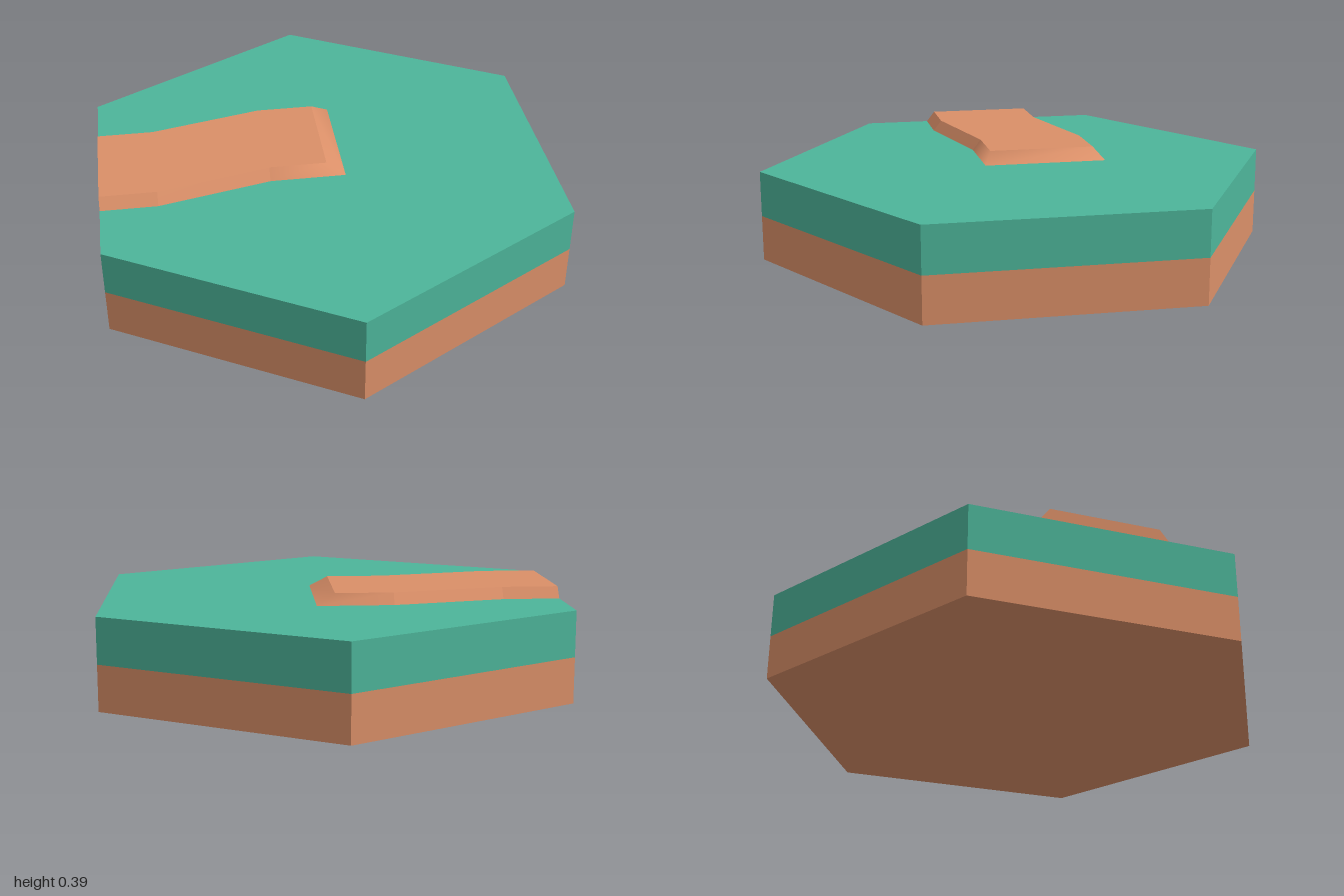
import * as THREE from 'three';

const BASE_H = 0.174, TILE_H = 0.348, PATH_H = 0.39;

// Indexed geometry from quads; corners are shared (smooth) only within one call.
function quadGeometry(points, quads) {
  const geometry = new THREE.BufferGeometry();
  geometry.setAttribute('position', new THREE.Float32BufferAttribute(points.flat(), 3));
  geometry.setIndex(quads.flatMap(([a, b, c, d]) => [a, b, c, a, c, d]));
  geometry.computeVertexNormals();
  return geometry;
}

// Six-sided slab with crisp edges, corners pointing along z.
function hexSlab(name, bottom, top, material) {
  const geometry = new THREE.CylinderGeometry(1, 1, top - bottom, 6).toNonIndexed();
  geometry.computeVertexNormals();
  const mesh = new THREE.Mesh(geometry, material);
  mesh.name = name;
  mesh.position.y = (top + bottom) / 2;
  return mesh;
}

export function createModel() {
  const grass = new THREE.MeshStandardMaterial({ color: 0x4db59a });
  grass.name = 'grass green';
  const dirt = new THREE.MeshStandardMaterial({ color: 0xda8f68 });
  dirt.name = 'dirt brown';

  const model = new THREE.Group();
  model.name = 'hexTile';
  model.add(hexSlab('dirtLayer', 0, BASE_H, dirt));
  model.add(hexSlab('grassLayer', BASE_H, TILE_H, grass));

  // Raised path: outline runs along the front side, then back along the rear side.
  const outer = [[-0.866, 0.24], [-0.65, 0.24], [-0.22, 0.14], [0.07, 0.14],
    [0.07, -0.34], [-0.22, -0.34], [-0.65, -0.24], [-0.866, -0.24]];
  const inner = [[-0.866, 0.207], [-0.65, 0.207], [-0.22, 0.108], [0, 0.108],
    [0, -0.307], [-0.22, -0.307], [-0.65, -0.207], [-0.866, -0.207]];
  const low = outer.map(([x, z]) => [x, TILE_H, z]);
  const high = inner.map(([x, z]) => [x, PATH_H, z]);

  const path = new THREE.Group();
  path.name = 'path';
  const addPart = (name, geometry) => {
    const mesh = new THREE.Mesh(geometry, dirt);
    mesh.name = name;
    path.add(mesh);
  };

  addPart('pathTop', quadGeometry(high, [0, 1, 2].map(i => [i, i + 1, 6 - i, 7 - i])));

  // Sloped rim: flat side pieces, with the ramp end blended softly into its neighbours.
  const ring = [...low, ...high];
  const rimQuad = i => [i, (i + 1) % 8, 8 + (i + 1) % 8, 8 + i];
  for (const i of [0, 1, 5, 6, 7]) {
    addPart(i === 7 ? 'pathEdgeCap' : 'pathSide', quadGeometry(ring, [rimQuad(i)]));
  }
  addPart('pathRamp', quadGeometry(ring, [2, 3, 4].map(rimQuad)));

  model.add(path);
  return model;
}
